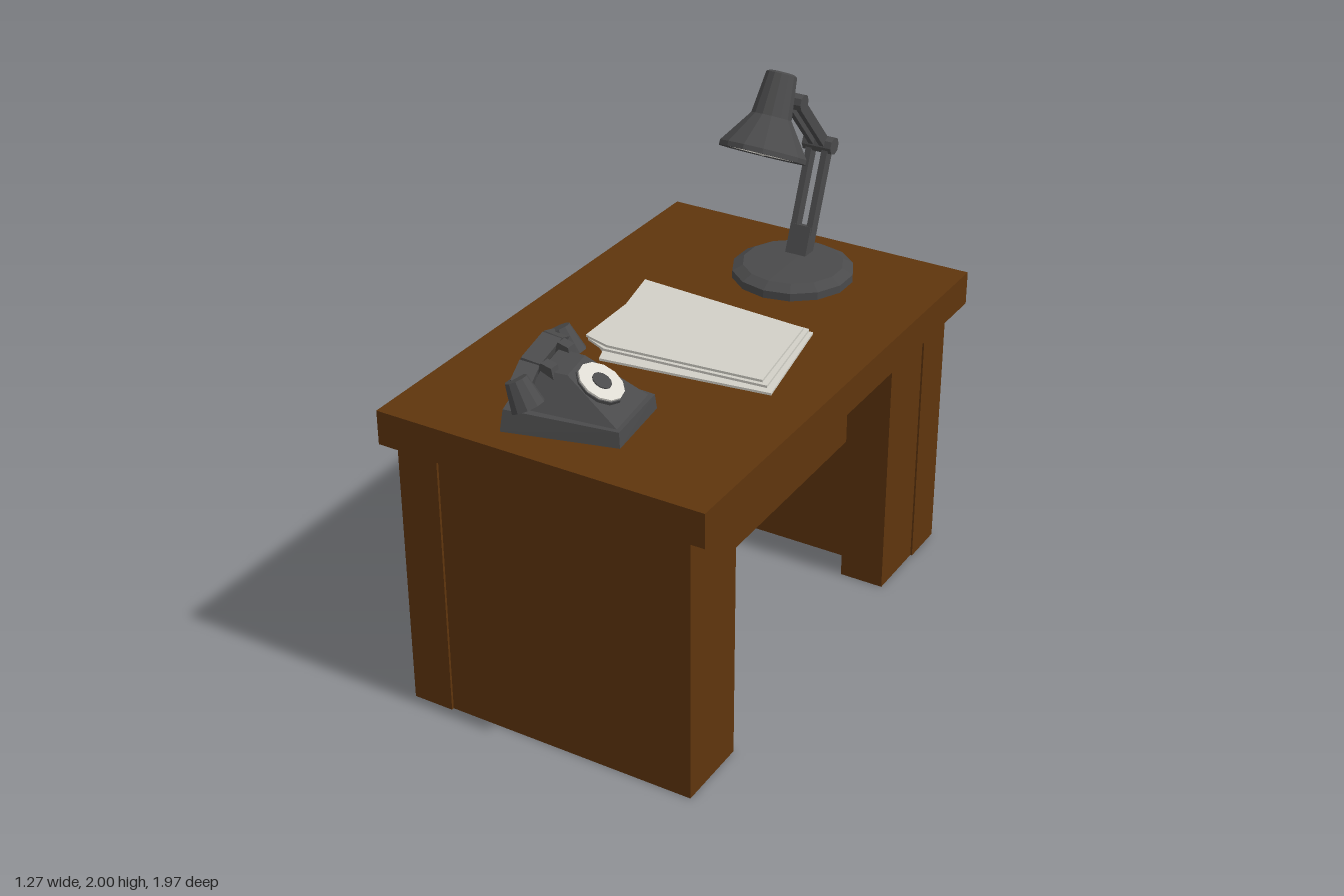
import * as THREE from 'three';
import { ConvexGeometry } from 'three/addons/geometries/ConvexGeometry.js';

const mat = (name, color, side = THREE.FrontSide) =>
  new THREE.MeshStandardMaterial({ name, color, side, flatShading: true });
const V = (x, y, z) => new THREE.Vector3(x, y, z);

export function createModel() {
  const wood = mat('wood', 0x5f350d);
  const dark = mat('dark grey', 0x4a4a4b);
  const paper = mat('paper', 0xd2d0c7, THREE.DoubleSide);
  const white = mat('off white', 0xdddad2, THREE.DoubleSide);
  const root = new THREE.Group();

  const group = (name) => {
    const g = new THREE.Group();
    g.name = name;
    root.add(g);
    return g;
  };
  const add = (parent, name, geo, material) => {
    const m = new THREE.Mesh(geo, material);
    m.name = name;
    parent.add(m);
    return m;
  };
  // Box given by its minimum and maximum on each axis
  const box = (parent, name, [x0, x1], [y0, y1], [z0, z1], material) => {
    const m = add(parent, name, new THREE.BoxGeometry(x1 - x0, y1 - y0, z1 - z0), material);
    m.position.set((x0 + x1) / 2, (y0 + y1) / 2, (z0 + z1) / 2);
    return m;
  };
  // Bar or cylinder running between two points
  const orient = (m, a, b) => {
    m.position.copy(a).add(b).multiplyScalar(0.5);
    m.quaternion.setFromUnitVectors(V(0, 1, 0), b.clone().sub(a).normalize());
    return m;
  };
  const bar = (parent, name, a, b, w, d, material) =>
    orient(add(parent, name, new THREE.BoxGeometry(w, a.distanceTo(b), d), material), a, b);
  const rod = (parent, name, a, b, r0, r1, sides, material) =>
    orient(add(parent, name, new THREE.CylinderGeometry(r1, r0, a.distanceTo(b), sides), material), a, b);
  const hull = (parent, name, pts, material) =>
    add(parent, name, new ConvexGeometry(pts.map((p) => V(...p))), material);

  // Desk: top, two panelled ends with corner posts, apron and drawer box
  const desk = group('desk');
  box(desk, 'deskTop', [-0.635, 0.635], [1.05, 1.18], [-0.98, 0.985], wood);
  box(desk, 'frontPanel', [-0.5, 0.5], [0, 1.05], [0.76, 0.945], wood);
  box(desk, 'backPanel', [-0.5, 0.5], [0, 1.05], [-0.95, -0.64], wood);
  box(desk, 'frontLeftLeg', [0.38, 0.56], [0, 1.05], [0.65, 0.945], wood);
  box(desk, 'frontRightLeg', [-0.57, -0.4], [0, 1.05], [0.65, 0.78], wood);
  box(desk, 'frontRightPost', [-0.58, -0.42], [0, 1.05], [0.77, 0.955], wood);
  box(desk, 'backLeftLeg', [0.38, 0.555], [0, 1.05], [-0.79, -0.52], wood);
  box(desk, 'backLeftPost', [0.41, 0.562], [0, 1.05], [-0.962, -0.78], wood);
  box(desk, 'backRightLeg', [-0.565, -0.4], [0, 1.05], [-0.79, -0.52], wood);
  box(desk, 'backRightPost', [-0.58, -0.42], [0, 1.05], [-0.962, -0.79], wood);
  box(desk, 'apron', [-0.51, 0.51], [0.94, 1.05], [-0.6, 0.7], wood);
  box(desk, 'drawerBox', [-0.39, 0.38], [0.6, 0.95], [-0.65, 0.77], wood);

  // Paper sheets, slightly bent
  const papers = group('papers');
  const sheet = (name, outline, y) => {
    const shape = new THREE.Shape(outline.map(([x, z]) => new THREE.Vector2(x, -z)));
    const geo = new THREE.ExtrudeGeometry(shape, { depth: 0.009, bevelEnabled: false });
    geo.rotateX(-Math.PI / 2);
    add(papers, name, geo, paper).position.y = y;
  };
  sheet('lowerSheet', [[-0.3, -0.23], [0.37, -0.235], [0.455, 0.23], [-0.18, 0.315], [-0.2, 0.26], [-0.27, 0.2]], 1.183);
  sheet('middleSheet', [[-0.31, -0.235], [0.36, -0.225], [0.43, 0.215], [-0.19, 0.27], [-0.28, 0.23]], 1.198);
  sheet('upperSheet', [[-0.335, -0.245], [0.35, -0.2], [0.41, 0.21], [-0.18, 0.265], [-0.285, 0.235], [-0.29, -0.04]], 1.212);

  // Lamp base and stalk
  const lamp = group('lamp');
  const X = 0.055;
  const base = add(lamp, 'lampBase', new THREE.LatheGeometry(
    [[0, 0], [0.23, 0], [0.23, 0.03], [0.19, 0.052], [0, 0.056]].map((p) => new THREE.Vector2(...p)), 14), dark);
  base.position.set(0.075, 1.18, -0.635);
  const foot = V(X, 1.22, -0.715), elbow = V(X, 1.62, -0.868), knob = V(X, 1.865, -0.645);
  bar(lamp, 'stalk', foot, foot.clone().lerp(elbow, 0.27), 0.085, 0.06, dark);

  // Paired lower arms, upper arms and joints
  for (const s of [-1, 1]) {
    const off = V(s * 0.033, 0, 0);
    bar(lamp, 'lowerArm', foot.clone().lerp(elbow, 0.2).add(off), elbow.clone().add(off), 0.024, 0.045, dark);
    const off2 = V(s * 0.022, 0, 0);
    bar(lamp, 'upperArm', elbow.clone().add(off2), knob.clone().add(off2), 0.02, 0.042, dark);
  }
  const joint = (name, p, w, r) =>
    rod(lamp, name, p.clone().add(V(-w, 0, 0)), p.clone().add(V(w, 0, 0)), r, r, 8, dark);
  joint('elbowJoint', elbow, 0.06, 0.034);
  joint('headJoint', knob, 0.045, 0.032);

  // Shade with light lining and bulb, built around its own axis from the mouth up
  const head = new THREE.Group();
  head.name = 'lampHead';
  lamp.add(head);
  head.position.set(0.025, 1.712, -0.47);
  head.quaternion.setFromUnitVectors(V(0, 1, 0), V(0, 0.885, -0.465).normalize());
  const lathe = (name, pts, material) =>
    add(head, name, new THREE.LatheGeometry(pts.map((p) => new THREE.Vector2(...p)), 14), material);
  lathe('shade', [[0.138, 0.004], [0.142, 0], [0.163, 0], [0.163, 0.018], [0.076, 0.14], [0.058, 0.295], [0.045, 0.302], [0, 0.302]], dark);
  lathe('shadeLining', [[0.139, 0.003], [0.065, 0.125], [0, 0.125]], white);
  add(head, 'bulb', new THREE.SphereGeometry(0.048, 12, 8), white).position.y = 0.045;
  bar(lamp, 'headBracket', knob, V(0.035, 1.89, -0.57), 0.04, 0.035, dark);

  // Telephone: base, sloping body, dial, cradle and handset
  const phone = group('telephone');
  hull(phone, 'phoneBase', [
    [0.165, 1.18, 0.495], [0.2, 1.18, 0.784], [-0.2, 1.18, 0.89], [-0.315, 1.18, 0.505],
    [0.16, 1.235, 0.5], [0.193, 1.235, 0.778], [-0.195, 1.258, 0.875], [-0.305, 1.258, 0.512]], dark);
  hull(phone, 'phoneBody', [
    [0.145, 1.235, 0.515], [0.178, 1.235, 0.765], [-0.16, 1.245, 0.845], [-0.27, 1.245, 0.53],
    [-0.055, 1.365, 0.59], [-0.03, 1.365, 0.735], [-0.12, 1.37, 0.755], [-0.15, 1.37, 0.6]], dark);
  const dial = new THREE.Group();
  dial.name = 'dial';
  phone.add(dial);
  dial.position.set(0.045, 1.319, 0.652);
  dial.quaternion.setFromUnitVectors(V(0, 1, 0), V(0.49, 0.87, -0.07).normalize());
  add(dial, 'dialMount', new THREE.CylinderGeometry(0.09, 0.09, 0.03, 12), dark).position.y = -0.014;
  add(dial, 'dialPlate', new THREE.CylinderGeometry(0.085, 0.085, 0.008, 12), white).position.y = 0.004;
  add(dial, 'dialCentre', new THREE.CylinderGeometry(0.036, 0.036, 0.008, 12), dark).position.y = 0.008;

  const a = V(-0.225, 1.335, 0.475), b = V(-0.145, 1.335, 0.85);
  const along = (t, y) => a.clone().lerp(b, t).setY(y);
  const grip = [along(0.03, 1.335), along(0.25, 1.368), along(0.75, 1.368), along(0.97, 1.335)];
  for (let i = 0; i < 3; i++) bar(phone, 'handsetGrip', grip[i], grip[i + 1], 0.07, 0.05, dark);
  for (const t of [0, 1]) {
    const end = along(t, 1.335);
    rod(phone, 'handsetCup', end.clone().add(V(0.035, -0.055, 0)), end.clone().add(V(-0.01, 0.035, 0)), 0.06, 0.04, 10, dark);
  }
  for (const t of [0.3, 0.7]) {
    const c = along(t, 0);
    hull(phone, 'cradle', [-0.02, 0.02].flatMap((d) => [
      [c.x - 0.06, 1.25, c.z + d], [c.x + 0.12, 1.25, c.z + d],
      [c.x + 0.09, 1.385, c.z + d], [c.x + 0.05, 1.395, c.z + d]]), dark);
  }
  return root;
}
